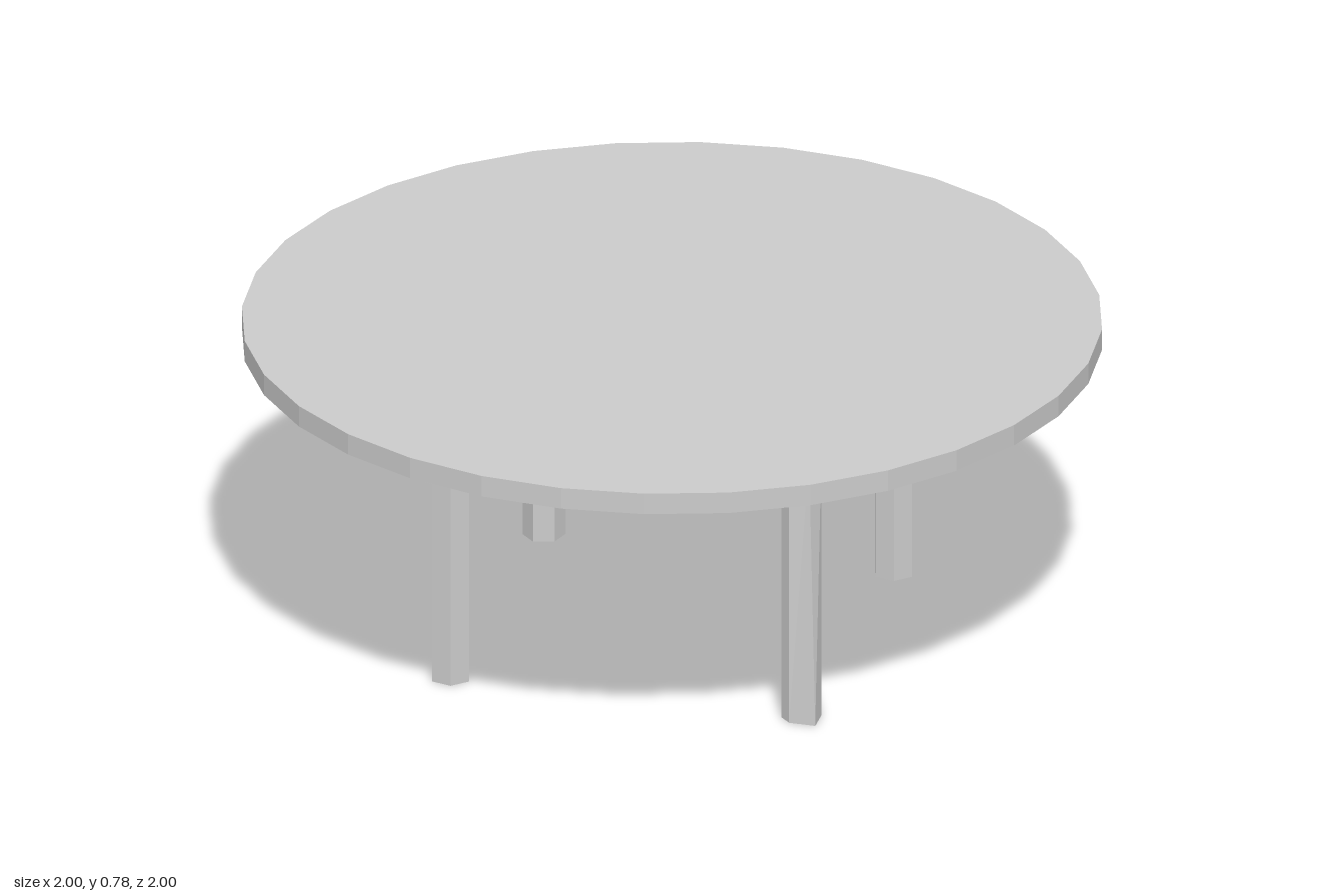
import * as THREE from 'three';

const material = new THREE.MeshStandardMaterial({ color: 0xcccccc, flatShading: true });

// Loft between two rings of [x, y, z] points, with both ends capped
function loft(lower, upper) {
  const n = lower.length;
  const pos = [];
  const tri = (...pts) => pts.forEach((p) => pos.push(...p));
  for (let i = 0; i < n; i++) {
    const j = (i + 1) % n;
    tri(lower[i], upper[i], lower[j]);
    tri(upper[i], upper[j], lower[j]);
    if (i > 0 && i < n - 1) {
      tri(lower[0], lower[i], lower[j]);
      tri(upper[0], upper[j], upper[i]);
    }
  }
  const geometry = new THREE.BufferGeometry();
  geometry.setAttribute('position', new THREE.Float32BufferAttribute(pos, 3));
  geometry.computeVertexNormals();
  return geometry;
}

function addMesh(parent, name, geometry) {
  const mesh = new THREE.Mesh(geometry, material);
  mesh.name = name;
  parent.add(mesh);
  return mesh;
}

// Six-sided ring with one corner pointing outward (local +z)
function hexRing(y, depth) {
  return Array.from({ length: 6 }, (_, i) => {
    const a = Math.PI / 6 + (i * Math.PI) / 3;
    return [0.05 * Math.cos(a), y, depth * Math.sin(a)];
  });
}

// Post with a bracket that flares from the hexagon to a wide rectangle
function createLeg(name, depth, splay) {
  const leg = new THREE.Group();
  leg.name = name;
  const foot = hexRing(0, depth);
  const neck = hexRing(0.665, depth);
  foot[1][2] += splay;
  const w = 0.13, d = 0.076;
  const plate = [[w, d], [0, d], [-w, d], [-w, -d], [0, -d], [w, -d]].map(([x, z]) => [x, 0.73, z]);
  addMesh(leg, 'post', loft(foot, neck));
  addMesh(leg, 'bracket', loft(neck, plate));
  return leg;
}

export function createModel() {
  const table = new THREE.Group();
  table.name = 'roundTable';

  // Tabletop
  const top = addMesh(table, 'tabletop', new THREE.CylinderGeometry(1, 1, 0.052, 32));
  top.position.y = 0.754;

  // Four legs around the centre; the front one is slimmer and kicks out at the foot
  ['frontLeg', 'leftLeg', 'backLeg', 'rightLeg'].forEach((name, i) => {
    const front = i === 0;
    const leg = createLeg(name, front ? 0.036 : 0.049, front ? 0.028 : 0);
    const a = (i * Math.PI) / 2;
    const r = front ? 0.6 : 0.594;
    leg.position.set(r * Math.sin(a), 0, r * Math.cos(a));
    leg.rotation.y = a;
    table.add(leg);
  });
  return table;
}
